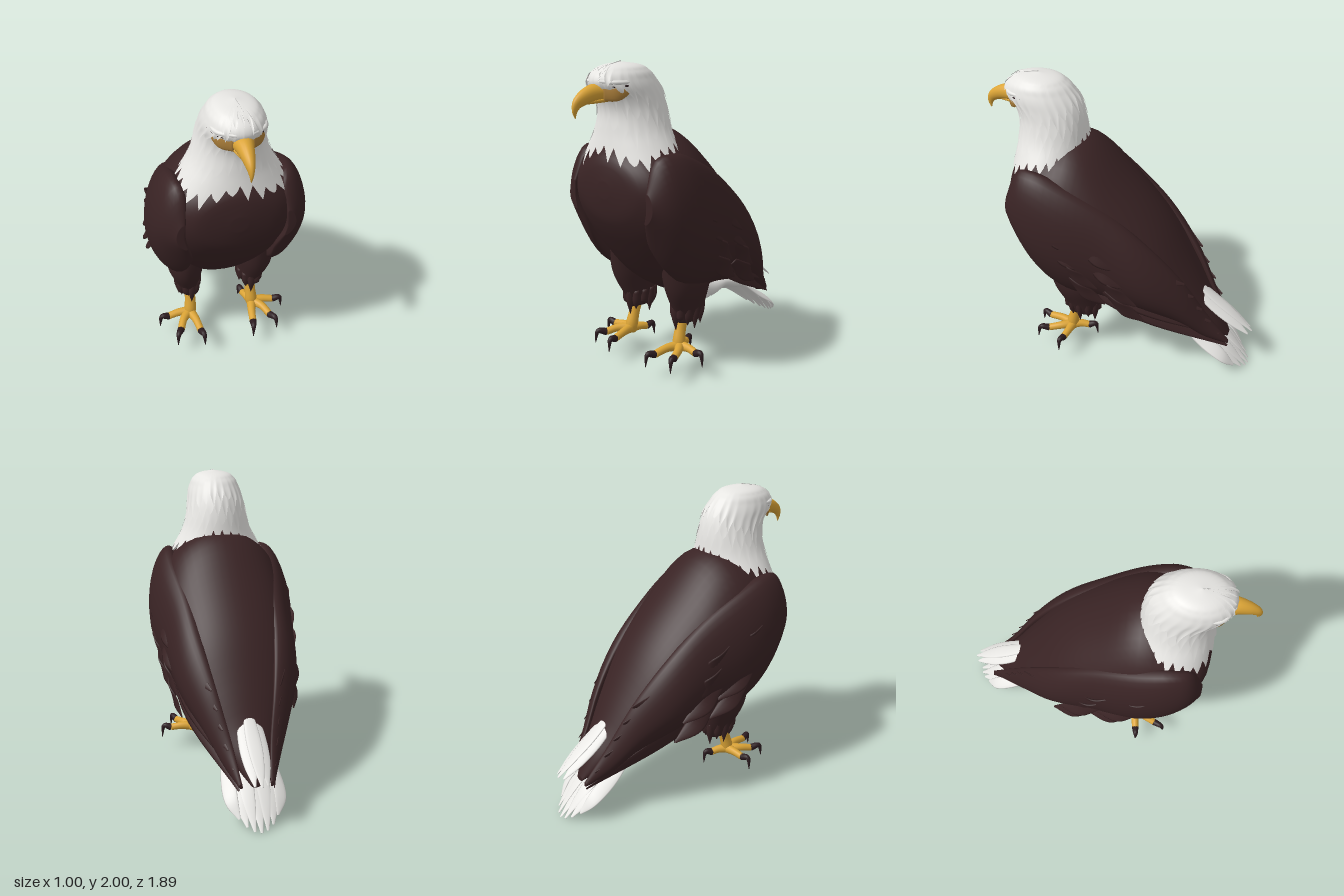
import * as THREE from 'three';

const material = (name, color) => {
  const m = new THREE.MeshStandardMaterial({ color });
  m.name = name;
  return m;
};
const brown = material('dark brown plumage', 0x392324);
const white = material('white plumage', 0xe6e5e2);
const gold = material('gold skin', 0xdba436);
const ochre = material('ochre face skin', 0xac7f3a);
const dark = material('dark claw', 0x2c1c20);
white.side = THREE.DoubleSide;

// Closed rings joined along u; fn(u, angle) gives a point
function skin(rows, cols, fn, caps = true) {
  const pos = [], idx = [];
  for (let i = 0; i <= rows; i++)
    for (let j = 0; j < cols; j++) pos.push(...fn(i / rows, (j / cols) * Math.PI * 2));
  const at = (i, j) => i * cols + (j % cols);
  for (let i = 0; i < rows; i++)
    for (let j = 0; j < cols; j++) {
      idx.push(at(i, j), at(i, j + 1), at(i + 1, j + 1));
      idx.push(at(i, j), at(i + 1, j + 1), at(i + 1, j));
    }
  if (caps) for (const r of [0, rows]) {
    const c = [0, 0, 0], n = pos.length / 3;
    for (let j = 0; j < cols; j++) for (let k = 0; k < 3; k++) c[k] += pos[at(r, j) * 3 + k] / cols;
    pos.push(...c);
    for (let j = 0; j < cols; j++)
      r === 0 ? idx.push(n, at(0, j + 1), at(0, j)) : idx.push(n, at(r, j), at(r, j + 1));
  }
  const g = new THREE.BufferGeometry();
  g.setAttribute('position', new THREE.Float32BufferAttribute(pos, 3));
  g.setIndex(idx);
  g.computeVertexNormals();
  return g;
}

// Smooth lookup in a table whose first column is the key
function table(rows) {
  const t = new THREE.CubicInterpolant(rows.map(r => r[0]), rows.flatMap(r => r.slice(1)), rows[0].length - 1);
  return k => Array.from(t.evaluate(k));
}

// Tapered limb along a path: radius or [across, deep] per point, across following ref
function limb(pts, radii, ref = [1, 0, 0], rows = 14, cols = 14) {
  const curve = new THREE.CatmullRomCurve3(pts.map(p => new THREE.Vector3(...p)));
  const size = table(radii.map((r, i) => [i / (radii.length - 1), ...(r.length ? r : [r, r])]));
  return skin(rows, cols, (u, a) => {
    const T = curve.getTangent(u), U = new THREE.Vector3(...ref);
    U.addScaledVector(T, -U.dot(T)).normalize();
    const V = T.clone().cross(U), [rx, ry] = size(u);
    return curve.getPoint(u)
      .addScaledVector(U, Math.cos(a) * Math.max(rx, 0.001))
      .addScaledVector(V, Math.sin(a) * Math.max(ry, 0.001)).toArray();
  });
}

// Thin feathers: pointed for the wing, blunt for the tail
const feather = (pts, w, ref) =>
  limb(pts, [[w * 0.5, 0.006], [w, 0.01], [w * 0.12, 0.003]], ref, 14, 10);
const bluntFeather = (pts, w, ref) =>
  limb(pts, [[w * 0.6, 0.008], [w * 0.9, 0.01], [w, 0.009], [w * 0.75, 0.006], [w * 0.15, 0.003]], ref, 16, 12);

export function createModel() {
  const root = new THREE.Group();
  root.name = 'eagle';
  const add = (name, geo, mat) => {
    const m = new THREE.Mesh(geo, mat);
    m.name = name;
    root.add(m);
  };

  // Body: z, top y, bottom y, half width
  const bodyAt = table([
    [-0.78, 0.26, 0.23, 0.03], [-0.7, 0.42, 0.27, 0.1], [-0.6, 0.57, 0.34, 0.16], [-0.5, 0.74, 0.42, 0.22],
    [-0.3, 1.05, 0.49, 0.33], [0, 1.38, 0.51, 0.42], [0.2, 1.57, 0.49, 0.44], [0.3, 1.61, 0.54, 0.45],
    [0.4, 1.6, 0.61, 0.45], [0.5, 1.57, 0.73, 0.43], [0.6, 1.52, 0.87, 0.39], [0.68, 1.46, 1, 0.3],
    [0.72, 1.39, 1.1, 0.19], [0.735, 1.3, 1.2, 0.05]]);
  add('body', skin(48, 48, (u, a) => {
    const z = -0.0225 - 0.7575 * Math.cos(Math.PI * u);
    const [t, b, w] = bodyAt(z);
    return [Math.cos(a) * w, (t + b) / 2 + Math.sin(a) * (t - b) / 2, z];
  }), brown);
  // Ragged belly fringe between the legs
  for (let i = -3; i <= 3; i++)
    add('bellyTuft', limb([[i * 0.038, 0.6, 0.13], [i * 0.038, 0.54, 0.12], [i * 0.038, 0.46 + 0.02 * (i & 1), 0.1]],
      [0.03, 0.026, 0.003], [1, 0, 0], 8, 8), brown);

  // Head and hood: y, front z, back z, half width; ragged rims in overlapping layers
  const hoodAt = table([
    [1.3, 0.75, 0.19, 0.41], [1.4, 0.742, 0.21, 0.365], [1.5, 0.722, 0.235, 0.3], [1.6, 0.703, 0.252, 0.238],
    [1.72, 0.695, 0.27, 0.198], [1.8, 0.725, 0.29, 0.185], [1.86, 0.775, 0.315, 0.178],
    [1.9, 0.785, 0.34, 0.166], [1.95, 0.75, 0.385, 0.14], [1.985, 0.675, 0.46, 0.085], [2, 0.57, 0.57, 0]]);
  for (let k = 0; k < 4; k++)
    add('hoodFeathers', skin(40, 144, (u, a) => {
      const c = Math.cos(a), s = Math.sin(a);
      const f = (a / (Math.PI * 2) * 24 + k * 0.5) % 1;
      const len = 0.075 + 0.03 * Math.sin(7 * a + k * 2) + 0.02 * Math.sin(17 * a + k);
      let rim = 1.48 + k * (0.085 + 0.08 * Math.max(c, 0));
      rim += c < 0 ? 0.11 * c * c : -0.06 * Math.sin(2 * a) ** 2;
      rim += (Math.abs(f - 0.5) * 2 - 0.5) * len;
      const y = rim + (2 - rim) * Math.sin(u * Math.PI / 2);
      const [zf, zb, w] = hoodAt(y), grow = 1 + 0.025 * k * (1 - u) ** 3;
      return [s * w * grow, y, (zf + zb) / 2 + c * (zf - zb) / 2 * grow];
    }, false), white);

  // Hooked beak
  add('beak', limb(
    [[0, 1.83, 0.68], [0, 1.828, 0.79], [0, 1.808, 0.865], [0, 1.778, 0.912], [0, 1.738, 0.932], [0, 1.695, 0.93]],
    [[0.08, 0.05], [0.053, 0.054], [0.037, 0.044], [0.024, 0.033], [0.012, 0.019], [0.002, 0.002]],
    [1, 0, 0], 30, 20), gold);
  add('lowerBeak', limb([[0, 1.797, 0.66], [0, 1.787, 0.78], [0, 1.775, 0.88]],
    [[0.085, 0.02], [0.047, 0.018], [0.01, 0.006]]), gold);

  // Tail: upper strip and arched lower fan
  for (let i = -1; i <= 1; i++) {
    const d = 0.02 * i * i;
    add('upperTailFeather', bluntFeather([[i * 0.04, 0.63 - d, -0.53], [i * 0.045, 0.53 - d, -0.66],
      [i * 0.045, 0.43 - d, -0.8], [i * 0.04, 0.315, -0.94 + d]], 0.047, [1, -0.4 * i, 0]), white);
  }
  for (let i = -3; i <= 3; i++) {
    const s = i / 3, q = s * s, e = 0.012 * (i & 1);
    add('lowerTailFeather', bluntFeather([[s * 0.1, 0.42 + e, -0.42], [s * 0.14, 0.31 - 0.04 * q + e, -0.6],
      [s * 0.155, 0.17 - 0.02 * q + e, -0.78], [s * 0.12, 0.012 + 0.06 * q, -0.94 + 0.08 * q]],
      0.05, [1, -0.6 * s, 0]), white);
  }
  add('undertailCoverts', limb([[0, 0.5, 0.07], [0, 0.46, -0.02], [0, 0.42, -0.15], [0, 0.43, -0.28], [0, 0.39, -0.42], [0, 0.33, -0.56]],
    [[0.07, 0.035], [0.125, 0.075], [0.145, 0.085], [0.14, 0.055], [0.14, 0.055], [0.1, 0.025]], [1, 0, 0], 24, 24), white);
  for (const [x, y, z] of [[0.09, 0.44, 0], [0.07, 0.39, -0.1], [-0.09, 0.44, 0], [-0.07, 0.39, -0.1], [0, 0.36, -0.42]])
    add('covertTuft', limb([[x, y + 0.03, z + 0.08], [x, y, z], [x, y - 0.02, z - 0.11]],
      [[0.02, 0.015], [0.055, 0.04], [0.015, 0.01]]), white);

  // Wing: z, top y, bottom y, centre x, half thickness
  const wingAt = table([
    [-0.8, 0.27, 0.24, 0.1, 0.012], [-0.65, 0.48, 0.28, 0.155, 0.035], [-0.5, 0.74, 0.4, 0.23, 0.055],
    [-0.3, 0.99, 0.48, 0.305, 0.08], [0, 1.25, 0.55, 0.35, 0.095], [0.3, 1.42, 0.6, 0.39, 0.11],
    [0.5, 1.48, 0.74, 0.39, 0.095], [0.62, 1.43, 0.92, 0.365, 0.07], [0.69, 1.26, 1.08, 0.34, 0.025]]);
  // Toes: knuckle, end, claw tip
  const toes = [
    [[0.2, 0.18, 0.4], [0.185, 0.165, 0.5], [0.17, 0.095, 0.57]],
    [[0.28, 0.18, 0.38], [0.315, 0.165, 0.46], [0.35, 0.095, 0.53]],
    [[0.3, 0.18, 0.31], [0.375, 0.17, 0.32], [0.44, 0.095, 0.33]],
    [[0.2, 0.175, 0.25], [0.185, 0.165, 0.2], [0.17, 0.09, 0.14]]];

  for (const s of [1, -1]) {
    const side = s > 0 ? 'left' : 'right';
    const P = pts => pts.map(([x, y, z]) => [s * x, y, z]);

    add(side + 'Wing', skin(40, 32, (u, a) => {
      const z = -0.055 - 0.745 * Math.cos(Math.PI * u);
      const [t, b, x, h] = wingAt(z), sn = Math.sin(a), c = Math.cos(a);
      const lean = (sn > 0 ? 0.05 : 0.09) * sn * sn * Math.min(1, (t - b) * 2);
      return [s * x + Math.sign(c) * Math.abs(c) ** 0.85 * h - s * lean, (t + b) / 2 + sn * (t - b) / 2, z];
    }), brown);

    // Flight feathers along the wing
    for (let i = 0; i < 6; i++) {
      const f = i / 5;
      add(side + 'FlightFeather', feather(P([[0.38, 0.7 + 0.28 * f, 0.15 - 0.1 * f],
        [0.3 + 0.04 * f, 0.52 + 0.34 * f, -0.25], [0.11 + 0.11 * f, 0.23 + 0.54 * f, -0.8 + 0.3 * f]]),
        0.065, [-0.35, 1, 0.5]), brown);
    }
    // Shoulder covert feathers
    for (let r = 0; r < 2; r++) for (let i = 0; i < 4; i++) {
      const z = 0.4 - r * 0.26 - i * 0.05, y = 1.2 - i * 0.13 - r * 0.1;
      const x = 0.475 - r * 0.035 - (i === 3 ? 0.02 : 0);
      add(side + 'CovertFeather', feather(P([[x - 0.01, y, z], [x - 0.01, y - 0.1, z - 0.13],
        [x - 0.045, y - 0.2, z - 0.27]]), 0.06, [i < 2 ? -0.15 : 0.2, 1, 0.7]), brown);
    }

    // Feathered thigh with a ragged cuff
    add(side + 'Thigh', limb(P([[0.23, 0.85, 0.27], [0.24, 0.62, 0.25], [0.225, 0.45, 0.225], [0.22, 0.34, 0.225]]),
      [[0.12, 0.2], [0.125, 0.18], [0.09, 0.135], [0.06, 0.1]], [1, 0, 0], 20, 24), brown);
    for (let i = 0; i < 11; i++) {
      const a = i / 11 * Math.PI * 2, c = Math.cos(a), n = Math.sin(a), low = 0.285 + 0.035 * (i % 3);
      add(side + 'ThighTuft', limb(P([[0.22 + c * 0.07, 0.46, 0.225 + n * 0.11],
        [0.22 + c * 0.066, 0.38, 0.225 + n * 0.11], [0.22 + c * 0.06, low, 0.225 + n * 0.105]]),
        [0.025, 0.024, 0.002], [1, 0, 0], 8, 8), brown);
    }

    // Shank, toes and claws
    add(side + 'Shank', limb(P([[0.215, 0.42, 0.25], [0.215, 0.3, 0.285], [0.22, 0.2, 0.31], [0.225, 0.15, 0.31]]),
      [0.05, 0.037, 0.042, 0.033]), gold);
    for (const [k, e, t] of toes) {
      const ref = Math.abs(e[0] - 0.22) > 0.12 ? [0, 0, 1] : [1, 0, 0];
      add(side + 'Toe', limb(P([[0.225, 0.175, 0.31], k, e]), [0.036, 0.027, 0.024], ref), gold);
      const over = [0, 1, 2].map(i => e[i] + (t[i] - e[i]) * 0.75);
      over[1] = e[1] + 0.012;
      add(side + 'Claw', limb(P([e, over, t]), [0.025, 0.017, 0.002], ref), dark);
    }

    // Face skin, eye and brow
    add(side + 'FaceSkin', limb(P([[0.05, 1.832, 0.755], [0.118, 1.833, 0.705], [0.162, 1.855, 0.63]]),
      [[0.05, 0.014], [0.046, 0.013], [0.012, 0.005]], [0, 1, 0]), ochre);
    add(side + 'Eye', limb(P([[0.1, 1.866, 0.733], [0.135, 1.868, 0.693], [0.166, 1.874, 0.62]]),
      [[0.004, 0.008], [0.011, 0.011], [0.004, 0.006]], [0, 1, 0]), dark);
    add(side + 'Brow', limb(P([[0.04, 1.895, 0.775], [0.128, 1.89, 0.71], [0.16, 1.889, 0.6]]),
      [[0.01, 0.012], [0.014, 0.016], [0.008, 0.006]], [0, 1, 0]), white);
  }
  return root;
}
